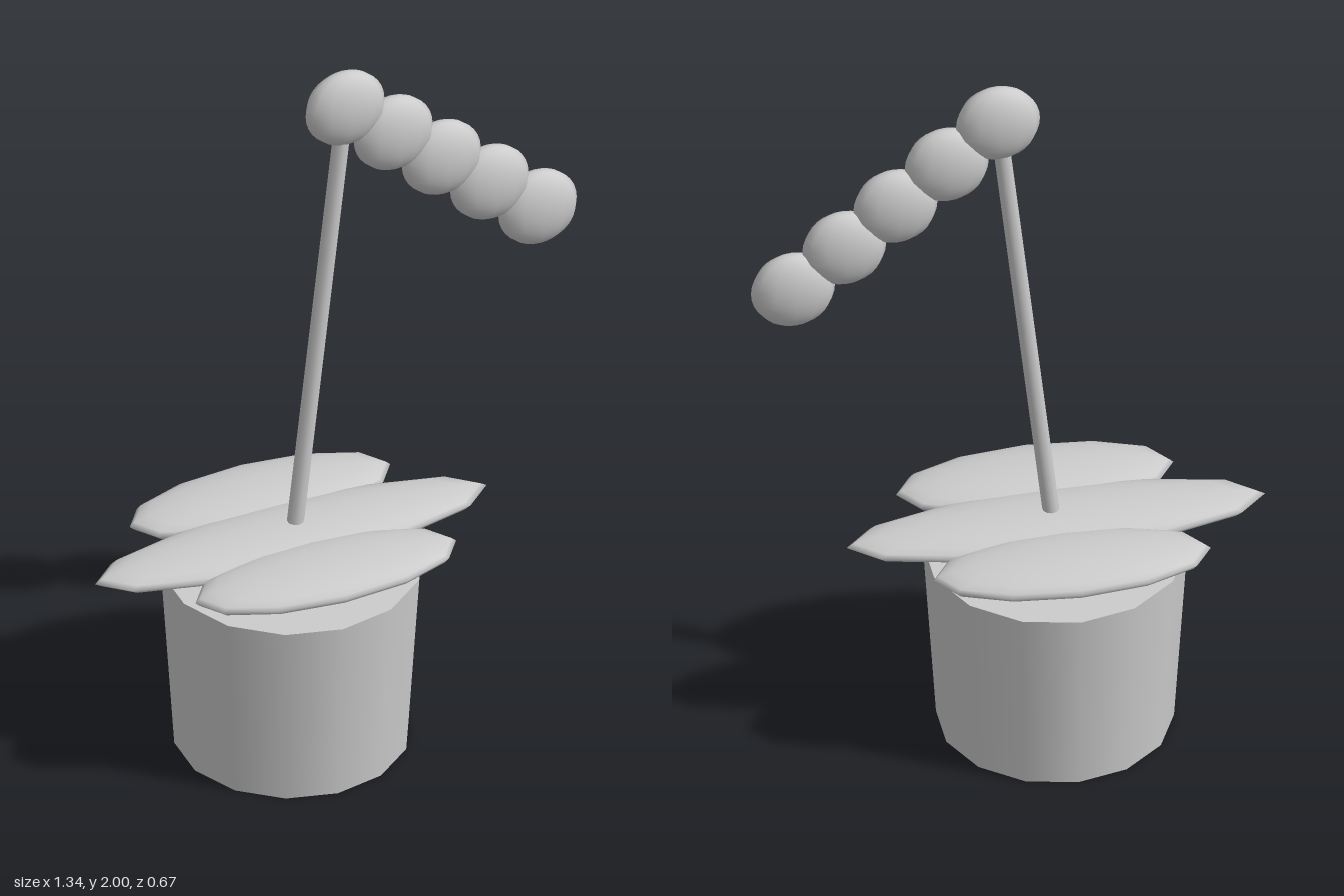
import * as THREE from 'three';

export function createModel() {
  const model = new THREE.Group();
  model.name = 'pottedFlower';
  const gray = new THREE.MeshStandardMaterial({ color: 0xcccccc });
  gray.name = 'light gray';

  const add = (name, geometry, x, y, z) => {
    const mesh = new THREE.Mesh(geometry, gray);
    mesh.name = name;
    mesh.position.set(x, y, z);
    model.add(mesh);
    return mesh;
  };

  // Stretched low-poly sphere shared by leaves and blossoms
  const ellipsoid = (rx, ry, rz, rings) =>
    new THREE.SphereGeometry(1, 12, rings).scale(rx, ry, rz);

  // Tapered pot
  add('pot', new THREE.CylinderGeometry(0.337, 0.303, 0.53, 14), -0.123, 0.265, 0);

  // Leaning stem from the pot to the first blossom
  const foot = new THREE.Vector3(-0.125, 0.53, 0);
  const tip = new THREE.Vector3(0.02, 1.85, 0);
  const along = tip.clone().sub(foot);
  const middle = foot.clone().add(tip).multiplyScalar(0.5);
  const stem = add('stem', new THREE.CylinderGeometry(0.022, 0.022, along.length(), 10),
    middle.x, middle.y, middle.z);
  stem.quaternion.setFromUnitVectors(new THREE.Vector3(0, 1, 0), along.normalize());

  // Three flat leaves lying side by side
  const leaves = [
    ['middleLeaf', -0.125, 0, 0.545, 0.132],
    ['backLeaf', -0.129, -0.191, 0.36, 0.135],
    ['frontLeaf', -0.108, 0.188, 0.36, 0.135],
  ];
  for (const [name, x, z, rx, rz] of leaves) {
    add(name, ellipsoid(rx, 0.042, rz, 12), x, 0.608, z);
  }
  model.getObjectByName('middleLeaf').rotation.y = 0.018;

  // Drooping chain of five flattened blossoms
  for (let i = 0; i < 5; i++) {
    add(`blossom${i + 1}`, ellipsoid(0.109, 0.109, 0.054, 16),
      0.025 + 0.133 * i, 1.891 - 0.1125 * i, 0);
  }
  return model;
}
